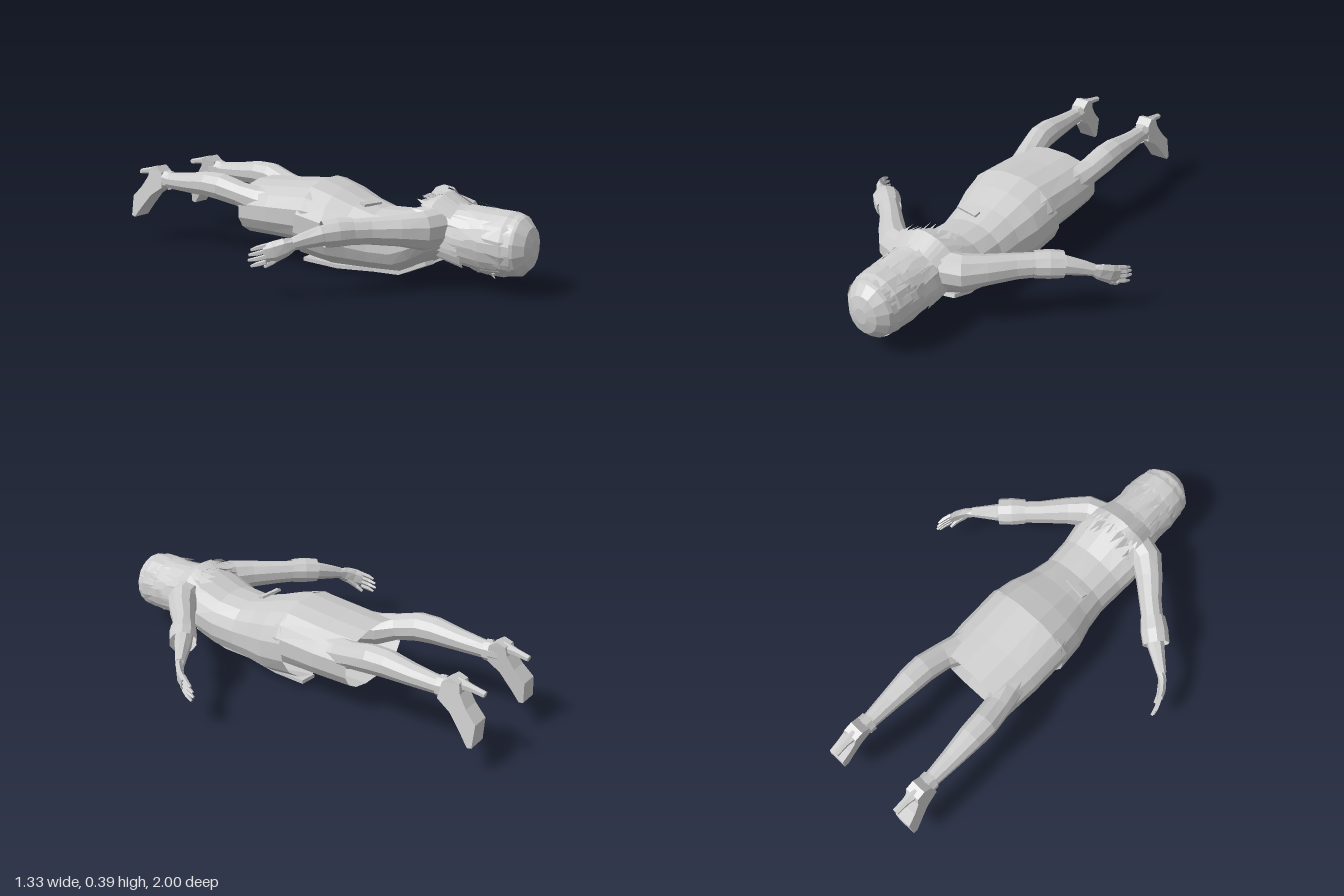
import * as THREE from 'three';

const mat = new THREE.MeshStandardMaterial({ color: 0xcccccc, flatShading: true, side: THREE.DoubleSide });
const V = (x, y, z) => new THREE.Vector3(x, y, z);

let seed = 7;
const rand = () => (seed = (seed * 16807) % 2147483647) / 2147483647;
const vary = (a, b) => a + (b - a) * rand();

function add(group, name, geometry) {
  const mesh = new THREE.Mesh(geometry, mat);
  mesh.name = name;
  group.add(mesh);
  return mesh;
}

// Skin through sections [x, y, z, rx, ry]; rings follow the path or a fixed direction
function loft(sections, { sides = 8, cap = true, dir = null, power = 1 } = {}) {
  const centres = sections.map(s => V(s[0], s[1], s[2]));
  const pos = [], idx = [], n = sections.length;
  const soft = v => Math.sign(v) * Math.abs(v) ** power;
  sections.forEach(([, , , rx, ry], i) => {
    const t = dir ? dir.clone()
      : centres[Math.min(i + 1, n - 1)].clone().sub(centres[Math.max(i - 1, 0)]).normalize();
    const side = V(0, 1, 0).cross(t).normalize();
    const up = t.clone().cross(side);
    for (let j = 0; j < sides; j++) {
      const a = (j + 0.5) / sides * Math.PI * 2;
      const p = centres[i].clone().addScaledVector(side, rx * soft(Math.cos(a)))
        .addScaledVector(up, ry * soft(Math.sin(a)));
      pos.push(p.x, p.y, p.z);
    }
  });
  for (let i = 0; i < n - 1; i++) for (let j = 0; j < sides; j++) {
    const a = i * sides + j, b = i * sides + (j + 1) % sides;
    idx.push(a, b, a + sides, b, b + sides, a + sides);
  }
  if (cap) [0, n - 1].forEach(i => {
    const c = pos.length / 3;
    pos.push(...centres[i].toArray());
    for (let j = 0; j < sides; j++) {
      const a = i * sides + j, b = i * sides + (j + 1) % sides;
      idx.push(...(i ? [c, a, b] : [c, b, a]));
    }
  });
  const g = new THREE.BufferGeometry();
  g.setAttribute('position', new THREE.Float32BufferAttribute(pos, 3));
  g.setIndex(idx);
  g.computeVertexNormals();
  return g;
}

// Thin tapering lock of hair through three points
function lock(a, b, c, w) {
  const out = V(b.x, b.y - 0.22, 0).normalize();
  const across = c.clone().sub(a).cross(out).normalize().multiplyScalar(w);
  const pts = [a.clone().sub(across), a.clone().add(across), b.clone().sub(across),
    b.clone().add(across), c.clone().addScaledVector(across, 0.3)];
  const g = new THREE.BufferGeometry();
  g.setAttribute('position', new THREE.Float32BufferAttribute(pts.flatMap(p => p.toArray()), 3));
  g.setIndex([0, 1, 2, 1, 3, 2, 2, 3, 4]);
  g.computeVertexNormals();
  return g;
}

function buildTorso() {
  const g = new THREE.Group();
  g.name = 'torso';
  const Z = V(0, 0, 1);
  // Fitted jacket: [z, half width, bottom, top]
  const rows = [[0, 0.23, 0.045, 0.4], [0.1, 0.215, 0.02, 0.37], [0.2, 0.185, 0.022, 0.33],
    [0.3, 0.17, 0.027, 0.3], [0.42, 0.175, 0.035, 0.305], [0.5, 0.185, 0.07, 0.33],
    [0.58, 0.185, 0.12, 0.355], [0.64, 0.16, 0.15, 0.36], [0.68, 0.08, 0.17, 0.34]];
  const jacket = loft(rows.map(([z, w, lo, hi]) => [0, (lo + hi) / 2, z, w, (hi - lo) / 2]),
    { sides: 16, cap: false, dir: Z, power: 0.9 });
  // The hem hangs lower towards the belly
  const p = jacket.attributes.position;
  for (let i = 0; i < p.count; i++)
    if (p.getZ(i) < 0.01) p.setZ(i, -0.07 * (0.4 - p.getY(i)) / 0.36);
  jacket.computeVertexNormals();
  add(g, 'jacket', jacket);

  // Skirt, open at the hem
  add(g, 'skirt', loft([[0, 0.235, -0.365, 0.21, 0.128], [0, 0.24, -0.2, 0.222, 0.132],
    [0, 0.245, 0, 0.222, 0.145], [0, 0.23, 0.1, 0.19, 0.12]],
    { sides: 16, cap: false, dir: Z, power: 0.85 }));
  add(g, 'hips', loft([[0, 0.25, -0.16, 0.17, 0.09], [0, 0.25, 0, 0.18, 0.11]], { sides: 12, dir: Z }));

  // Jacket front edges and lapels
  for (const s of [-1, 1]) {
    add(g, 'jacketFrontEdge', loft([[s * 0.075, 0.035, -0.07, 0.055, 0.012], [s * 0.06, 0.022, 0.1, 0.05, 0.012],
      [s * 0.04, 0.03, 0.28, 0.045, 0.012], [s * 0.05, 0.04, 0.42, 0.05, 0.012],
      [s * 0.09, 0.11, 0.57, 0.035, 0.012]], { sides: 4 }));
  }
  // Back strap at the waist
  const strap = add(g, 'backStrap', new THREE.BoxGeometry(0.11, 0.012, 0.03));
  strap.position.set(-0.05, 0.317, 0.25);
  strap.rotation.set(0.3, -0.15, 0);
  // Collar
  add(g, 'collar', loft([[0, 0.26, 0.6, 0.13, 0.105], [0, 0.26, 0.66, 0.1, 0.085], [0, 0.25, 0.7, 0.09, 0.08]],
    { sides: 12, cap: false, dir: Z }));
  return g;
}

function buildHead() {
  const g = new THREE.Group();
  g.name = 'head';
  const Z = V(0, 0, 1);
  add(g, 'neck', loft([[0, 0.25, 0.6, 0.07, 0.065], [0, 0.23, 0.78, 0.065, 0.065]], { dir: Z }));
  add(g, 'face', loft([[0, 0.13, 0.7, 0.035, 0.03], [0, 0.155, 0.74, 0.07, 0.068], [0, 0.18, 0.8, 0.095, 0.1],
    [0, 0.2, 0.88, 0.105, 0.12], [0, 0.21, 0.95, 0.09, 0.105]], { sides: 12, dir: Z }));
  const nose = add(g, 'nose', new THREE.ConeGeometry(0.018, 0.06, 4));
  nose.position.set(0, 0.083, 0.81);
  nose.rotation.x = 2.4;
  add(g, 'lips', new THREE.SphereGeometry(0.025, 8, 6).scale(1, 0.5, 0.4).translate(0, 0.092, 0.755));
  for (const s of [-1, 1])
    add(g, 'eye', new THREE.SphereGeometry(0.018, 8, 6).scale(1, 0.6, 0.6).translate(s * 0.04, 0.1, 0.845));

  // Hair mass over crown and nape
  add(g, 'hairCap', loft([[0, 0.285, 0.6, 0.125, 0.075], [0, 0.275, 0.68, 0.13, 0.075], [0, 0.255, 0.76, 0.125, 0.09],
    [0, 0.23, 0.84, 0.136, 0.125], [0, 0.22, 0.9, 0.13, 0.135], [0, 0.215, 0.95, 0.11, 0.122],
    [0, 0.215, 0.985, 0.072, 0.085], [0, 0.215, 0.998, 0.03, 0.035]], { sides: 14, dir: Z }));

  // Layered locks sweeping from the crown to the nape and past the cheeks
  for (let layer = 0; layer < 3; layer++) for (let i = 0; i < 17; i++) {
    const a = -0.95 + (Math.PI + 1.9) * i / 16 + vary(-0.08, 0.08);
    const at = (z, rx, ry, y) => V(rx * Math.cos(a), y + ry * Math.sin(a), z);
    const back = Math.max(0, Math.sin(a)), z = 0.94 - layer * 0.11;
    add(g, 'hairLock', lock(at(z, 0.118 + layer * 0.007, 0.125, 0.218),
      at(z - 0.13, 0.138, 0.128 - layer * 0.008, 0.225 + layer * 0.008),
      at(z - vary(0.2, 0.25), vary(0.12, 0.14), vary(0.1, 0.12), 0.23 + layer * 0.01 + 0.025 * back),
      vary(0.018, 0.028)));
  }
  // Loose tips spread over the shoulders
  for (let i = 0; i < 13; i++) {
    const x = -0.12 + i * 0.02, y = 0.385 - 2.2 * x * x;
    add(g, 'hairTip', lock(V(x * 0.9, y - 0.03, 0.68), V(x, y + vary(-0.005, 0.015), 0.6),
      V(x * 1.1, y + vary(-0.02, 0.005), vary(0.5, 0.56)), vary(0.012, 0.022)));
  }
  return g;
}

function buildArm(s) {
  const g = new THREE.Group();
  g.name = s > 0 ? 'leftArm' : 'rightArm';
  const limb = (name, rows, opts) => add(g, name, loft(rows.map(([x, ...r]) => [s * x, ...r]), opts));
  limb('sleeve', [[0.1, 0.265, 0.61, 0.07, 0.085], [0.18, 0.265, 0.585, 0.07, 0.08], [0.25, 0.27, 0.52, 0.06, 0.065],
    [0.33, 0.272, 0.435, 0.05, 0.056], [0.41, 0.272, 0.36, 0.048, 0.052]], { sides: 10 });
  limb('cuff', [[0.385, 0.275, 0.385, 0.056, 0.057], [0.43, 0.273, 0.345, 0.062, 0.06], [0.475, 0.268, 0.305, 0.06, 0.055]],
    { sides: 10, cap: false });
  limb('forearm', [[0.41, 0.272, 0.355, 0.04, 0.044], [0.48, 0.262, 0.3, 0.038, 0.042],
    [0.54, 0.247, 0.255, 0.027, 0.033], [0.575, 0.237, 0.23, 0.022, 0.026]]);
  limb('palm', [[0.565, 0.24, 0.235, 0.02, 0.024], [0.595, 0.227, 0.213, 0.018, 0.038], [0.625, 0.21, 0.18, 0.016, 0.043],
    [0.643, 0.2, 0.145, 0.013, 0.037]], { sides: 6 });
  for (let i = 0; i < 4; i++) {
    const y = 0.232 - i * 0.022, long = [0.015, 0.004, 0, 0.014][i];
    limb('finger', [[0.64, y, 0.15, 0.01, 0.011], [0.655, y - 0.012, 0.115, 0.01, 0.01],
      [0.661, y - 0.022, 0.075 + long, 0.006, 0.006]], { sides: 5 });
  }
  limb('thumb', [[0.6, 0.2, 0.2, 0.012, 0.016], [0.625, 0.165, 0.168, 0.012, 0.012],
    [0.632, 0.142, 0.135, 0.007, 0.007]], { sides: 5 });
  return g;
}

function buildLeg(s) {
  const g = new THREE.Group();
  g.name = s > 0 ? 'leftLeg' : 'rightLeg';
  add(g, 'leg', loft([[0.1, 0.25, -0.1, 0.085, 0.09], [0.14, 0.275, -0.3, 0.07, 0.07], [0.165, 0.3, -0.38, 0.06, 0.058],
    [0.18, 0.325, -0.48, 0.062, 0.064], [0.182, 0.33, -0.56, 0.058, 0.06], [0.184, 0.323, -0.68, 0.046, 0.048],
    [0.184, 0.32, -0.79, 0.036, 0.04], [0.184, 0.325, -0.87, 0.034, 0.04]].map(([x, ...r]) => [s * x, ...r]), { sides: 10 }));
  add(g, 'ankleStrap', loft([[s * 0.184, 0.32, -0.8, 0.044, 0.045], [s * 0.184, 0.322, -0.83, 0.044, 0.048]],
    { sides: 8, cap: false }));
  // Shoe from its side profile, widening and turning out to the toe
  const profile = [[-0.82, 0.29], [-0.83, 0.36], [-0.865, 0.388], [-0.905, 0.375], [-0.915, 0.335], [-0.95, 0.285],
    [-1, 0.235], [-1, 0.14], [-0.98, 0.135], [-0.945, 0.18], [-0.885, 0.25]];
  const shape = new THREE.Shape(profile.map(([z, y]) => new THREE.Vector2(z, y)));
  const shoe = new THREE.ExtrudeGeometry(shape, { depth: 0.08, bevelEnabled: false })
    .translate(0, 0, -0.04).rotateY(-Math.PI / 2);
  const p = shoe.attributes.position;
  for (let i = 0; i < p.count; i++) {
    const toe = THREE.MathUtils.clamp((0.38 - p.getY(i)) / 0.24, 0, 1);
    p.setX(i, p.getX(i) * (0.85 + 0.25 * toe) + s * (0.182 + 0.03 * toe));
  }
  shoe.computeVertexNormals();
  add(g, 'shoe', shoe);
  add(g, 'heel', loft([[s * 0.182, 0.36, -0.88, 0.032, 0.026], [s * 0.18, 0.355, -0.94, 0.018, 0.016],
    [s * 0.178, 0.345, -1, 0.016, 0.013]], { sides: 6 }));
  return g;
}

export function createModel() {
  const model = new THREE.Group();
  model.name = 'lyingFigure';
  model.add(buildTorso(), buildHead());
  for (const s of [-1, 1]) model.add(buildArm(s), buildLeg(s));
  // Rest exactly on the ground
  model.position.y = -new THREE.Box3().setFromObject(model).min.y;
  return model;
}
